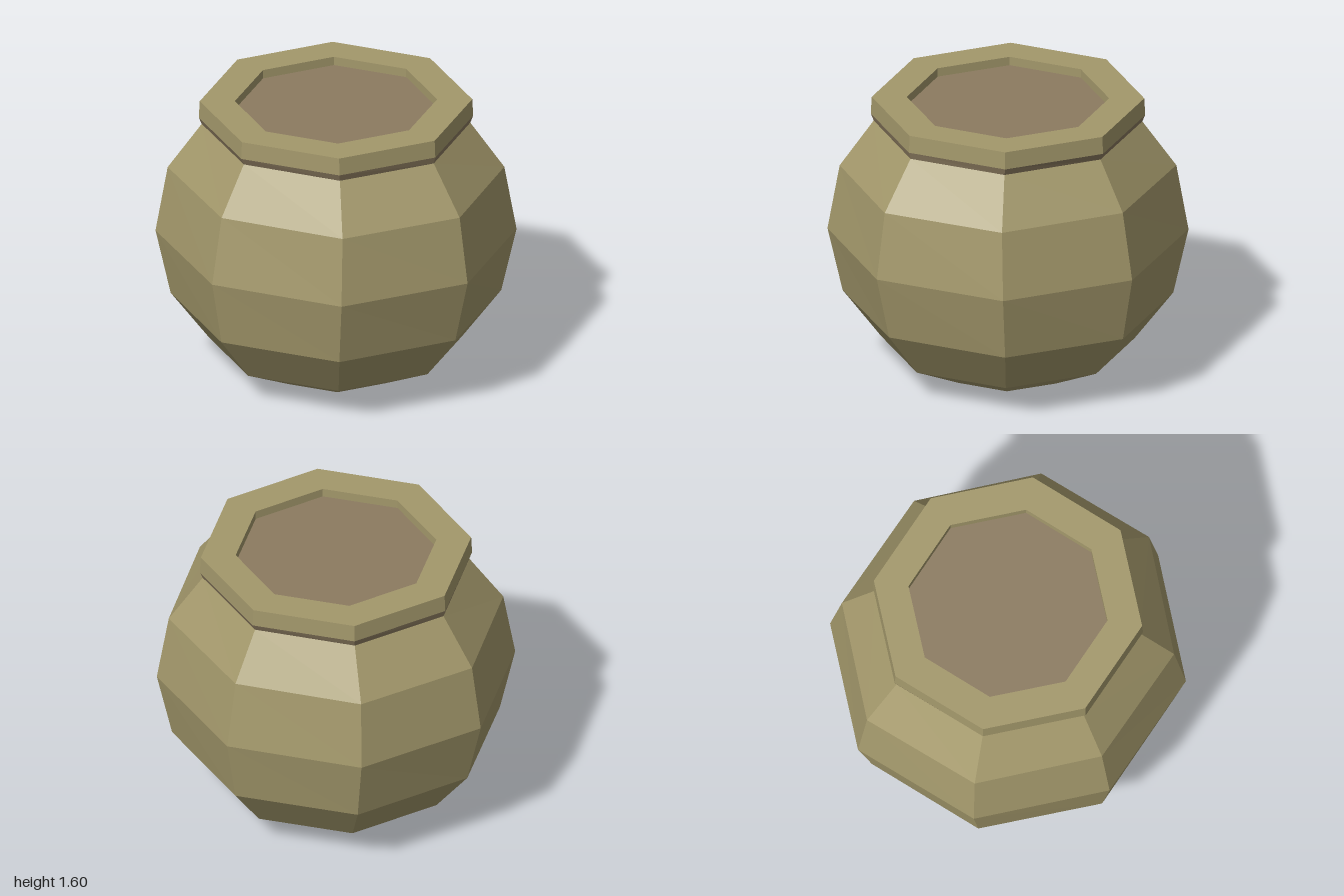
import * as THREE from 'three';

const OLIVE = 0xa3986b, BROWN = 0x8c7b60;

// Eight-sided turned part; each profile point is [radius along x, height, optional radius along z]
function turned(name, profile, color) {
  const geometry = new THREE.LatheGeometry(profile.map(([r, y]) => new THREE.Vector2(r, y)), 8);
  const pos = geometry.attributes.position;
  for (let i = 0; i < pos.count; i++) {
    const [rx, , rz = rx] = profile[i % profile.length];
    if (rx > 0) pos.setZ(i, pos.getZ(i) * rz / rx);
  }
  const flat = geometry.toNonIndexed();
  flat.computeVertexNormals();
  const mesh = new THREE.Mesh(flat, new THREE.MeshStandardMaterial({ color, flatShading: true }));
  mesh.name = name;
  return mesh;
}

export function createModel() {
  const group = new THREE.Group();
  group.name = 'pot';

  // Rounded belly with a closed flat base
  group.add(turned('body', [
    [0, 0], [0.375, 0], [0.695, 0.16], [0.907, 0.435],
    [1, 0.81, 0.98], [0.94, 1.19, 0.906], [0.743, 1.455, 0.73],
  ], OLIVE));

  // Narrow recessed band under the rim
  group.add(turned('neck', [[0.743, 1.455, 0.73], [0.755, 1.495, 0.75]], BROWN));

  // Thick rim with an inner wall
  group.add(turned('rim', [
    [0.755, 1.495, 0.75], [0.75, 1.595, 0.745], [0.555, 1.595], [0.555, 1.545],
  ], OLIVE));

  // Sunken surface inside the rim
  group.add(turned('filling', [[0.555, 1.545], [0, 1.545]], BROWN));

  return group;
}
